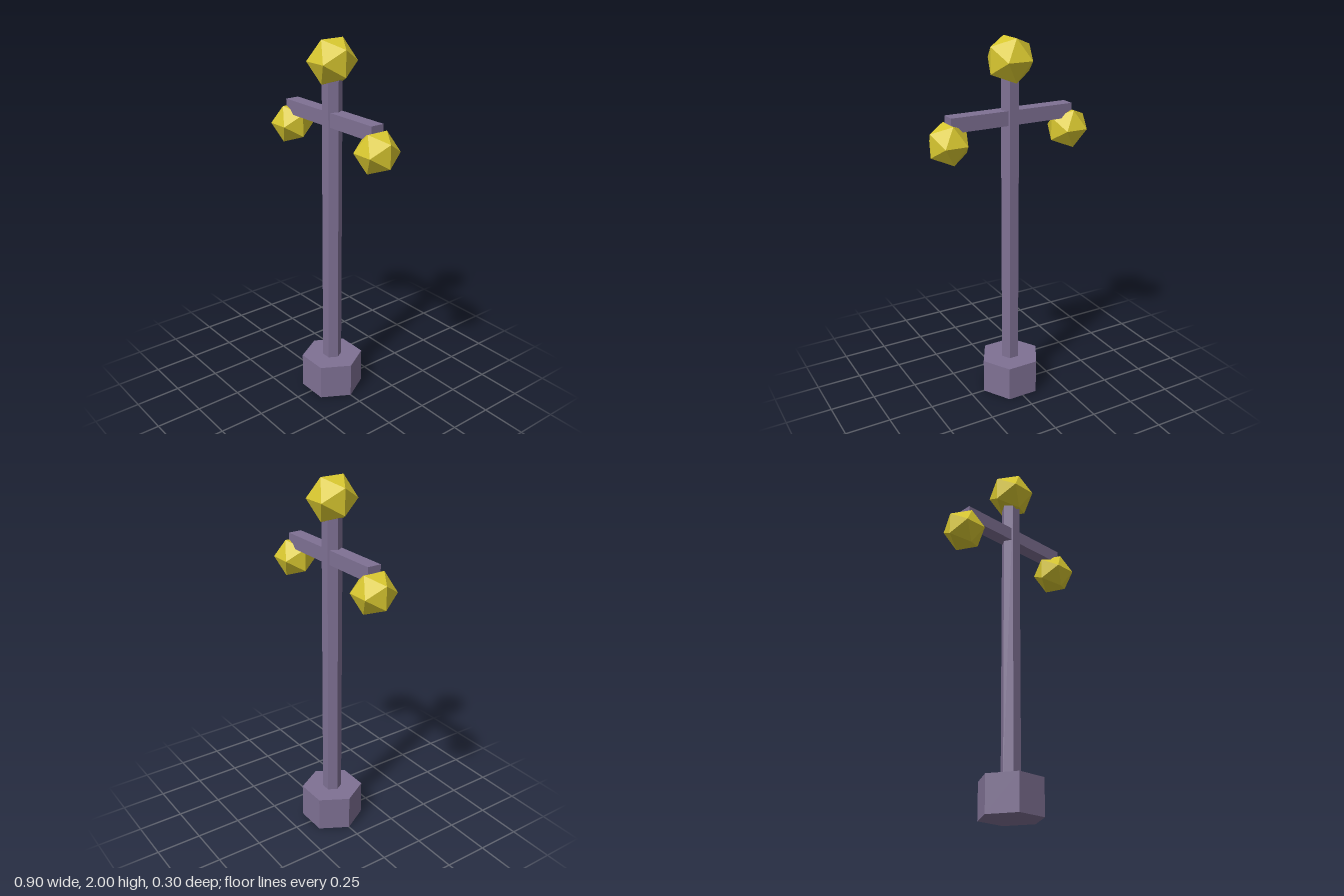
import * as THREE from 'three';

export function createModel() {
  const model = new THREE.Group();
  const metal = new THREE.MeshStandardMaterial({ color: 0x7f7194 });
  metal.name = 'purple metal';
  metal.flatShading = true;
  const glow = new THREE.MeshStandardMaterial({ color: 0xd9c830 });
  glow.name = 'yellow lamp';
  glow.flatShading = true;

  const add = (name, geometry, material, x, y) => {
    const mesh = new THREE.Mesh(geometry, material);
    mesh.name = name;
    mesh.position.set(x, y, 0);
    model.add(mesh);
  };

  // Hexagonal prism with corners on the x axis
  const hexPrism = (name, radius, bottom, top) => {
    const g = new THREE.CylinderGeometry(radius, radius, top - bottom, 6).rotateY(Math.PI / 2);
    add(name, g, metal, 0, (bottom + top) / 2);
  };

  // Faceted globe, turned so an edge along z is at the top
  const globe = (name, radius, x, y) =>
    add(name, new THREE.IcosahedronGeometry(radius, 0).rotateY(Math.PI / 2), glow, x, y);

  hexPrism('base', 0.172, 0, 0.197);
  hexPrism('pole', 0.053, 0.197, 1.81);
  add('crossArm', new THREE.BoxGeometry(0.7, 0.077, 0.077), metal, 0, 1.598);

  globe('topLamp', 0.13, 0, 1.889);
  globe('leftLamp', 0.1165, 0.35, 1.5);
  globe('rightLamp', 0.1165, -0.35, 1.5);

  return model;
}
